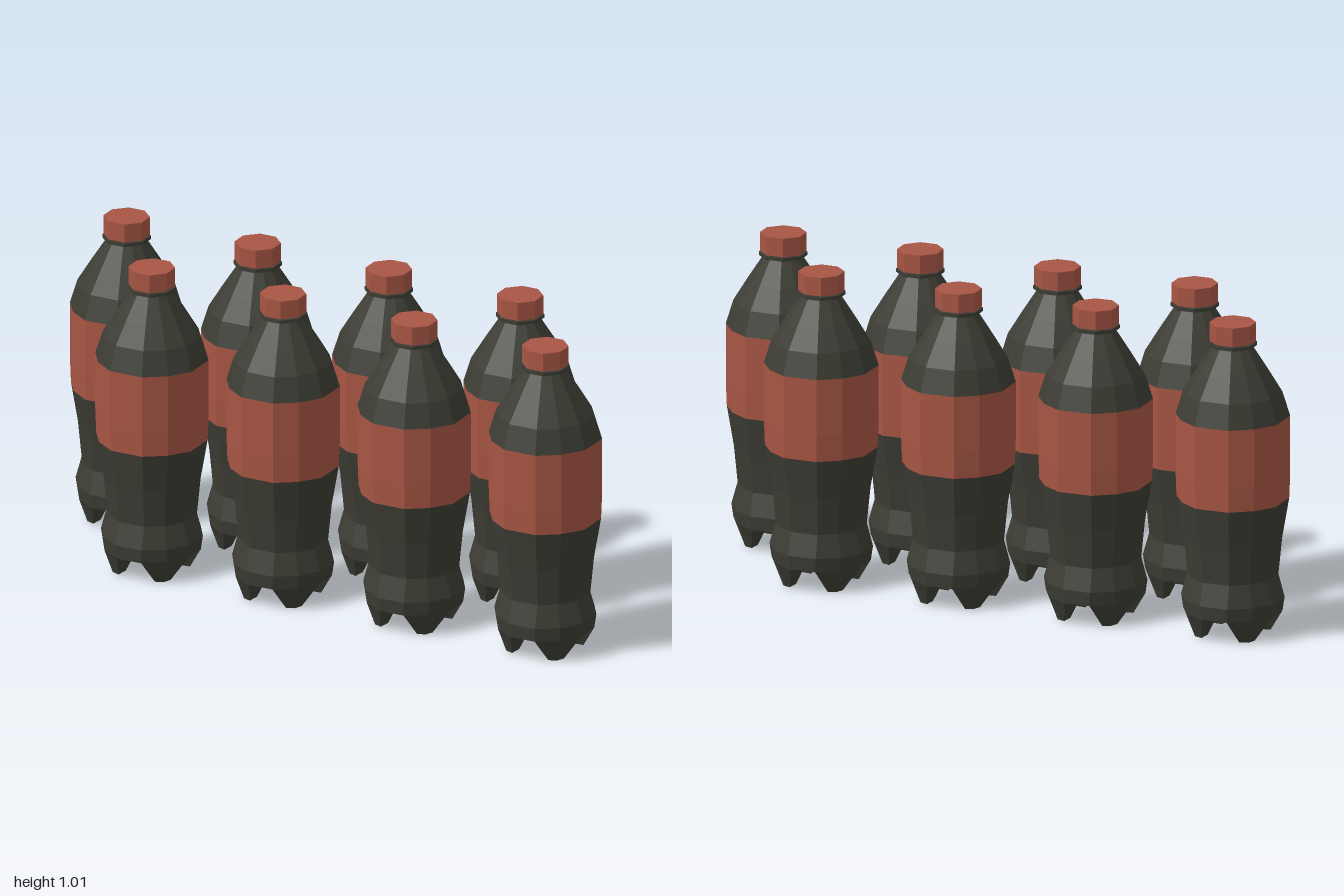
import * as THREE from 'three';

// Twelve-sided outline: flat sides at distance h, half width f, and one corner on each diagonal
function outline(y, h, ratio = 0.33) {
  const f = h * ratio, d = h * 0.725, points = [];
  for (let k = 0; k < 4; k++) {
    const c = Math.round(Math.cos(k * Math.PI / 2)), s = Math.round(Math.sin(k * Math.PI / 2));
    for (const [x, z] of [[h, -f], [h, f], [d, d]]) {
      points.push(new THREE.Vector3(x * c - z * s, y, x * s + z * c));
    }
  }
  return points;
}

// Flat-faceted surface through rings ordered from bottom to top
function loft(rings, closeBottom = false, closeTop = false) {
  const positions = [];
  const tri = (...pts) => pts.forEach(p => positions.push(p.x, p.y, p.z));
  const n = rings[0].length;
  const fan = (ring, up) => {
    const c = new THREE.Vector3();
    ring.forEach(p => c.addScaledVector(p, 1 / n));
    ring.forEach((p, i) => {
      const q = ring[(i + 1) % n];
      if (up) tri(c, q, p); else tri(c, p, q);
    });
  };
  for (let r = 0; r < rings.length - 1; r++) {
    for (let i = 0; i < n; i++) {
      const j = (i + 1) % n, a = rings[r], b = rings[r + 1];
      tri(a[i], b[i], b[j]);
      tri(a[i], b[j], a[j]);
    }
  }
  if (closeBottom) fan(rings[0], false);
  if (closeTop) fan(rings[rings.length - 1], true);
  const geometry = new THREE.BufferGeometry();
  geometry.setAttribute('position', new THREE.Float32BufferAttribute(positions, 3));
  geometry.computeVertexNormals();
  return geometry;
}

// Eight-sided drum with flat sides facing the axes
function drum(half, y0, y1) {
  const r = half / Math.cos(Math.PI / 8);
  const g = new THREE.CylinderGeometry(r, r, y1 - y0, 8).rotateY(Math.PI / 8);
  return g.translate(0, (y0 + y1) / 2, 0);
}

export function createModel() {
  const dark = new THREE.MeshStandardMaterial({ color: 0x3d3d35, flatShading: true });
  dark.name = 'dark bottle';
  const red = new THREE.MeshStandardMaterial({ color: 0xa85644, flatShading: true });
  red.name = 'red label';

  const at = y => (x, z) => new THREE.Vector3(x, y, z);
  const top = at(0.076), ground = at(0);
  const foot = loft([
    [ground(0.06, 0.06), ground(0.1, 0.064), ground(0.09, 0.09), ground(0.064, 0.1)],
    [top(0.03, 0.03), top(0.15, 0.042), top(0.109, 0.109), top(0.042, 0.15)],
  ], true);

  const parts = [
    ['lowerBody', dark, loft([
      outline(0.075, 0.15, 0.28), outline(0.12, 0.155, 0.3), outline(0.192, 0.135),
      outline(0.31, 0.146), outline(0.44, 0.167),
    ], true)],
    ['label', red, loft([outline(0.44, 0.167), outline(0.52, 0.17), outline(0.707, 0.17)])],
    ['shoulder', dark, loft([
      outline(0.707, 0.17), outline(0.785, 0.147), outline(0.855, 0.106),
      outline(0.93, 0.06), outline(0.95, 0.058),
    ], false, true)],
    ['neckRing', dark, drum(0.07, 0.933, 0.944)],
    ['cap', red, drum(0.067, 0.947, 1.007)],
  ];

  function bottle(x, z) {
    const group = new THREE.Group();
    group.name = 'bottle';
    for (const [name, material, geometry] of parts) {
      const mesh = new THREE.Mesh(geometry, material);
      mesh.name = name;
      group.add(mesh);
    }
    // Four feet on the diagonals
    for (let k = 0; k < 4; k++) {
      const mesh = new THREE.Mesh(foot, dark);
      mesh.name = 'foot';
      mesh.rotation.y = k * Math.PI / 2;
      group.add(mesh);
    }
    group.position.set(x, 0, z);
    return group;
  }

  // Two staggered rows of four
  const model = new THREE.Group();
  model.name = 'bottles';
  for (let i = 0; i < 4; i++) {
    model.add(bottle(-0.83 + i * 0.463, -0.17));
    model.add(bottle(-0.559 + i * 0.463, 0.168));
  }
  return model;
}
